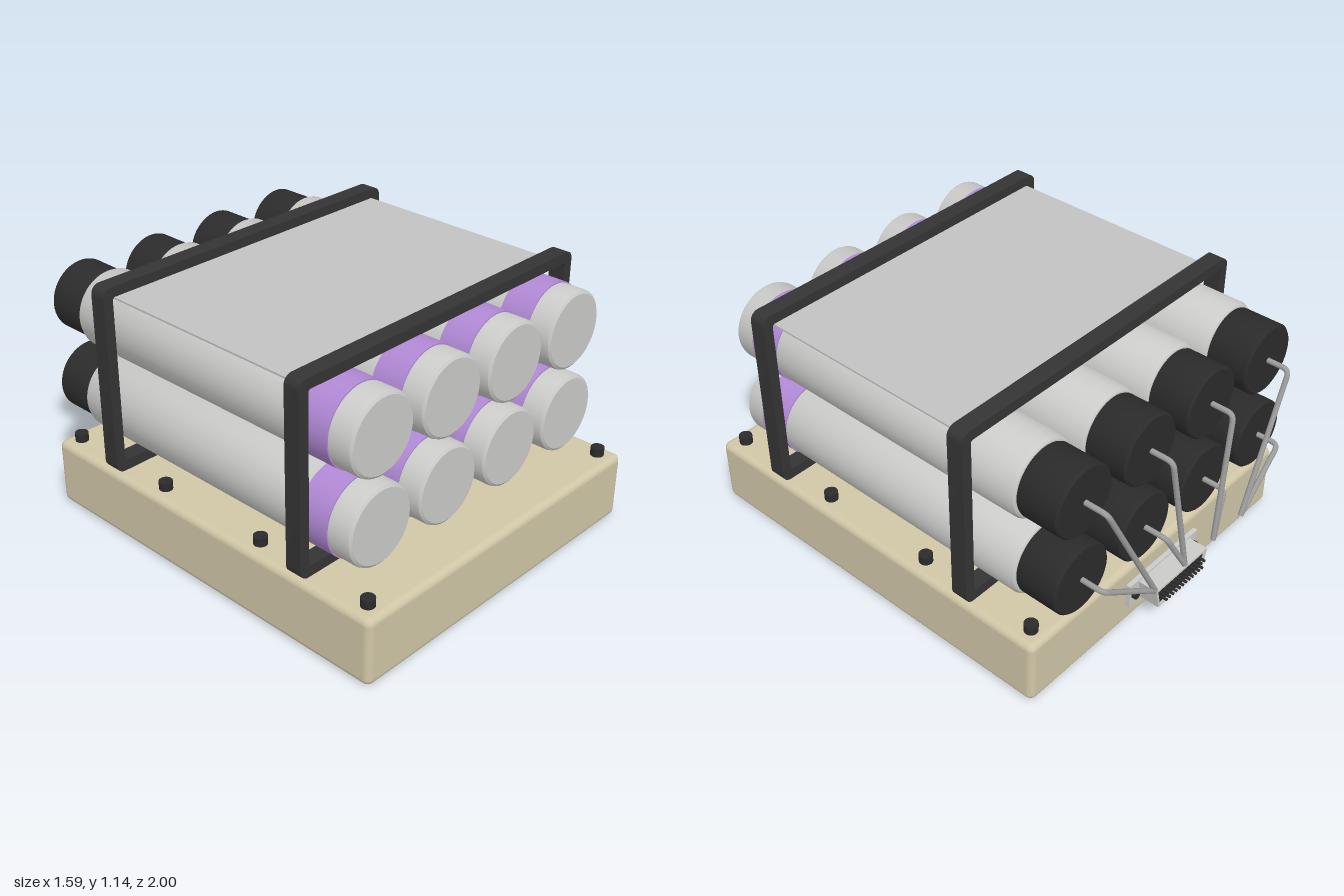
import * as THREE from 'three';
import { toCreasedNormals } from 'three/addons/utils/BufferGeometryUtils.js';
import { RoundedBoxGeometry } from 'three/addons/geometries/RoundedBoxGeometry.js';

const material = (name, color, side = THREE.FrontSide) => {
  const m = new THREE.MeshStandardMaterial({ color, side });
  m.name = name;
  return m;
};

export function createModel() {
  const beige = material('beige enclosure', 0xd0c6a6);
  const silver = material('silver canister', 0xcacac8);
  const sheetGrey = material('sheet grey', 0xc2c2c2);
  const purple = material('purple band', 0xb088d4);
  const black = material('black plastic', 0x2b2b2b);
  const frameBlack = material('frame black', 0x343434);
  const wireGrey = material('wire grey', 0x9c9c9c, THREE.DoubleSide);

  const model = new THREE.Group();
  model.name = 'canisterRack';

  const add = (parent, name, geometry, mat, x = 0, y = 0, z = 0) => {
    const mesh = new THREE.Mesh(geometry, mat);
    mesh.name = name;
    mesh.position.set(x, y, z);
    parent.add(mesh);
    return mesh;
  };

  // Turned profile [radius, z] laid along the z axis, from back to front
  const turned = (profile, sides = 48) => {
    const points = profile.map(([r, z]) => new THREE.Vector2(r, z));
    const g = new THREE.LatheGeometry(points, sides).rotateX(Math.PI / 2);
    return toCreasedNormals(g, 0.5);
  };

  const roundedRect = (target, x0, y0, x1, y1, r) => {
    target.moveTo(x0 + r, y0);
    target.lineTo(x1 - r, y0);
    target.absarc(x1 - r, y0 + r, r, -Math.PI / 2, 0);
    target.lineTo(x1, y1 - r);
    target.absarc(x1 - r, y1 - r, r, 0, Math.PI / 2);
    target.lineTo(x0 + r, y1);
    target.absarc(x0 + r, y1 - r, r, Math.PI / 2, Math.PI);
    target.lineTo(x0, y0 + r);
    target.absarc(x0 + r, y0 + r, r, Math.PI, Math.PI * 1.5);
    return target;
  };

  // Base enclosure
  add(model, 'base', new RoundedBoxGeometry(1.59, 0.3, 1.81, 4, 0.03), beige, 0, 0.15, 0.095);

  // Lid bolts along both sides
  const bolt = new THREE.CylinderGeometry(0.029, 0.029, 0.04, 20);
  for (const x of [-0.72, 0.72]) {
    for (const z of [0.925, 0.37, -0.185, -0.74]) add(model, 'lidBolt', bolt, black, x, 0.317, z);
  }

  // Canisters with purple band, dark end cap and bent lead
  const bodyGeo = turned([[0, -0.665], [0.155, -0.665], [0.162, -0.66], [0.169, -0.645],
    [0.169, 0.832], [0.166, 0.842], [0.155, 0.85], [0, 0.85]]);
  const bandGeo = turned([[0.168, 0.6], [0.1745, 0.6], [0.1745, 0.742], [0.168, 0.742]]);
  const capGeo = turned([[0, -0.855], [0.145, -0.855], [0.153, -0.846], [0.153, -0.672],
    [0.147, -0.66], [0, -0.66]]);

  const leadGeometry = (dx, drop) => {
    const start = new THREE.Vector3(0, 0, -0.84);
    const corner = new THREE.Vector3(0, 0, -0.955);
    const end = new THREE.Vector3(dx, -drop, -0.988);
    const before = new THREE.Vector3(0, 0, -0.925);
    const after = corner.clone().add(end.clone().sub(corner).setLength(0.03));
    const path = new THREE.CurvePath();
    path.add(new THREE.LineCurve3(start, before));
    path.add(new THREE.QuadraticBezierCurve3(before, corner, after));
    path.add(new THREE.LineCurve3(after, end));
    return new THREE.TubeGeometry(path, 60, 0.0115, 10);
  };

  const columns = [[-0.57, -0.285], [-0.19, -0.095], [0.19, 0.095], [0.57, 0.285]];
  for (const y of [0.53, 0.91]) {
    for (const [x, endX] of columns) {
      const canister = new THREE.Group();
      canister.name = 'canister';
      canister.position.set(x, y, 0);
      add(canister, 'canisterBody', bodyGeo, silver);
      add(canister, 'canisterBand', bandGeo, purple);
      add(canister, 'endCap', capGeo, black);
      add(canister, 'lead', leadGeometry(endX - x, y - 0.35), wireGrey);
      model.add(canister);
    }
  }

  // Two rectangular retaining frames
  const outline = roundedRect(new THREE.Shape(), -0.795, 0.305, 0.795, 1.137, 0.04);
  outline.holes.push(roundedRect(new THREE.Path(), -0.75, 0.352, 0.75, 1.091, 0.012));
  const frameGeo = toCreasedNormals(
    new THREE.ExtrudeGeometry(outline, { depth: 0.075, bevelEnabled: false, curveSegments: 6 }), 0.6);
  add(model, 'frontFrame', frameGeo, frameBlack, 0, 0, 0.585);
  add(model, 'backFrame', frameGeo, frameBlack, 0, 0, -0.478);

  // Thin cover sheet between the frames
  add(model, 'coverSheet', new THREE.BoxGeometry(1.485, 0.008, 0.99), sheetGrey, 0, 1.089, 0.092);

  // Socket on the back: flange, tapered shell, insert, pins and screws
  const socket = new THREE.Group();
  socket.name = 'socket';
  socket.position.set(0, 0.155, 0);
  model.add(socket);
  add(socket, 'socketFlange', new THREE.BoxGeometry(0.45, 0.115, 0.02), silver, 0, 0, -0.82);

  const trapezoid = (target, top, bottom, h) => {
    target.moveTo(-bottom, -h);
    target.lineTo(bottom, -h);
    target.lineTo(top, h);
    target.lineTo(-top, h);
    target.closePath();
    return target;
  };
  const shell = trapezoid(new THREE.Shape(), 0.17, 0.15, 0.05);
  shell.holes.push(trapezoid(new THREE.Path(), 0.158, 0.139, 0.04));
  add(socket, 'socketShell', new THREE.ExtrudeGeometry(shell, { depth: 0.095, bevelEnabled: false }),
    silver, 0, 0, -0.92);
  const insert = trapezoid(new THREE.Shape(), 0.158, 0.139, 0.04);
  add(socket, 'socketInsert', new THREE.ExtrudeGeometry(insert, { depth: 0.08, bevelEnabled: false }),
    black, 0, 0, -0.912);

  const pin = new THREE.CylinderGeometry(0.006, 0.006, 0.04, 8).rotateX(Math.PI / 2);
  for (const [count, y] of [[13, 0.016], [12, -0.016]]) {
    for (let i = 0; i < count; i++) {
      add(socket, 'socketPin', pin, black, (i - (count - 1) / 2) * 0.022, y, -0.92);
    }
  }
  const screw = new THREE.CylinderGeometry(0.018, 0.018, 0.025, 16).rotateX(Math.PI / 2);
  for (const x of [-0.195, 0.195]) add(socket, 'socketScrew', screw, black, x, 0, -0.835);

  return model;
}
